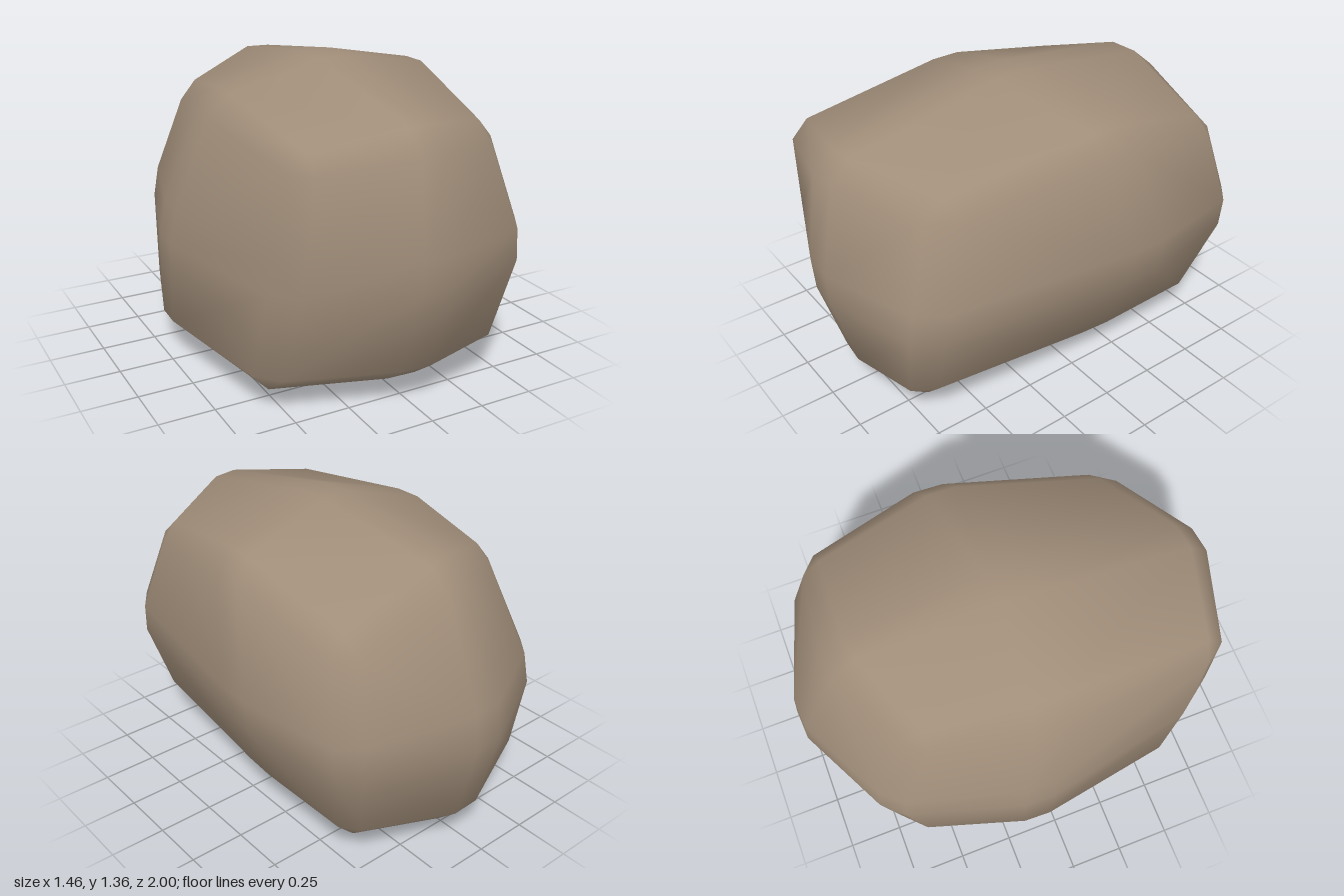
import * as THREE from 'three';

// Control cage: a cube split in two along each axis, keyed by signs of x, y, z
const CAGE = {
  '+++': [0.47, 1.11, 0.68], '++-': [0.56, 1.08, -0.72],
  '-++': [-0.52, 1.13, 0.83], '-+-': [-0.45, 1.15, -0.52],
  '+-+': [0.43, 0.16, 0.81], '+--': [0.5, 0.12, -0.69],
  '--+': [-0.63, 0.11, 0.67], '---': [-0.58, 0.12, -0.65],
  // edge middles
  '0++': [0, 1.205, 0.95], '0+-': [0, 1.285, -0.755],
  '0-+': [0, 0.11, 0.875], '0--': [0, 0.095, -0.9],
  '++0': [0.64, 1.265, -0.08], '-+0': [-0.55, 1.225, 0],
  '+-0': [0.49, 0.115, -0.1], '--0': [-0.75, 0.105, -0.1],
  '+0+': [0.58, 0.635, 0.85], '+0-': [0.64, 0.64, -0.83],
  '-0+': [-0.57, 0.64, 0.79], '-0-': [-0.55, 0.64, -0.76],
  // face middles
  '+00': [0.75, 0.635, -0.26], '-00': [-0.75, 0.635, -0.1],
  '0+0': [0, 1.39, 0.065], '0-0': [0, -0.02, -0.09],
  '00+': [0, 0.64, 1.04], '00-': [0, 0.64, -1.045],
};
const cage = (s) => new THREE.Vector3(...CAGE[s.map((n) => (n > 0 ? '+' : n < 0 ? '-' : '0')).join('')]);

// Bevel inset as a fraction of half the size along x, y and z
const INSET = [0.12, 0.14, 0.095];
const gridValue = (axis, i) => [-1 + INSET[axis], -INSET[axis], INSET[axis], 1 - INSET[axis]][i];

// Point of the cage's surface: bilinear blend within one quarter of a face
function facePoint(axis, side, i, j) {
  const a = (axis + 1) % 3, b = (axis + 2) % 3;
  const u = gridValue(a, i), v = gridValue(b, j);
  const at = (su, sv) => {
    const s = [0, 0, 0];
    s[axis] = side; s[a] = su; s[b] = sv;
    return cage(s);
  };
  const su = Math.sign(u), sv = Math.sign(v), fu = Math.abs(u), fv = Math.abs(v);
  return at(0, 0).lerp(at(su, 0), fu).lerp(at(0, sv).lerp(at(su, sv), fu), fv);
}

function rockGeometry() {
  const points = [], normals = [], index = [];
  const centre = new THREE.Vector3(0, 0.66, 0);
  const id = (axis, side, i, j) => ((axis * 2 + (side > 0 ? 1 : 0)) * 4 + i) * 4 + j;

  // Triangle turned to face away from the centre; smooth normals are weighted by corner angle
  const tri = (...ids) => {
    const [p, q, r] = ids.map((k) => points[k]);
    const n = q.clone().sub(p).cross(r.clone().sub(p)).normalize();
    const out = p.clone().add(q).add(r).divideScalar(3).sub(centre);
    if (n.dot(out) < 0) {
      ids.reverse();
      n.negate();
    }
    index.push(...ids);
    ids.forEach((k, c) => {
      const toNext = points[ids[(c + 1) % 3]].clone().sub(points[k]);
      const toLast = points[ids[(c + 2) % 3]].clone().sub(points[k]);
      normals[k].addScaledVector(n, toNext.angleTo(toLast));
    });
  };
  const quad = (a, b, c, d) => { tri(a, b, c); tri(a, c, d); };

  for (let axis = 0; axis < 3; axis++) for (const side of [-1, 1])
    for (let i = 0; i < 4; i++) for (let j = 0; j < 4; j++) {
      points.push(facePoint(axis, side, i, j));
      normals.push(new THREE.Vector3());
    }

  const end = (side) => (side > 0 ? 3 : 0);
  for (let axis = 0; axis < 3; axis++) {
    const next = (axis + 1) % 3;
    for (const side of [-1, 1]) {
      // Faces
      for (let i = 0; i < 3; i++) for (let j = 0; j < 3; j++)
        quad(id(axis, side, i, j), id(axis, side, i + 1, j), id(axis, side, i + 1, j + 1), id(axis, side, i, j + 1));
      // Bevelled edges between this face and those of the next axis
      for (const side2 of [-1, 1]) for (let k = 0; k < 3; k++)
        quad(id(axis, side, end(side2), k), id(axis, side, end(side2), k + 1),
          id(next, side2, k + 1, end(side)), id(next, side2, k, end(side)));
    }
  }
  // Corners
  for (const x of [-1, 1]) for (const y of [-1, 1]) for (const z of [-1, 1])
    tri(id(0, x, end(y), end(z)), id(1, y, end(z), end(x)), id(2, z, end(x), end(y)));

  const geometry = new THREE.BufferGeometry().setFromPoints(points);
  geometry.setAttribute('normal', new THREE.Float32BufferAttribute(normals.flatMap((n) => n.normalize().toArray()), 3));
  geometry.setIndex(index);
  // Stand on the ground, centred
  geometry.computeBoundingBox();
  const box = geometry.boundingBox, mid = box.getCenter(new THREE.Vector3());
  geometry.translate(-mid.x, -box.min.y, -mid.z);
  return geometry;
}

export function createModel() {
  const group = new THREE.Group();
  group.name = 'boulder';
  const rock = new THREE.Mesh(rockGeometry(), new THREE.MeshStandardMaterial({ color: 0xa08d79 }));
  rock.name = 'rock';
  group.add(rock);
  return group;
}
